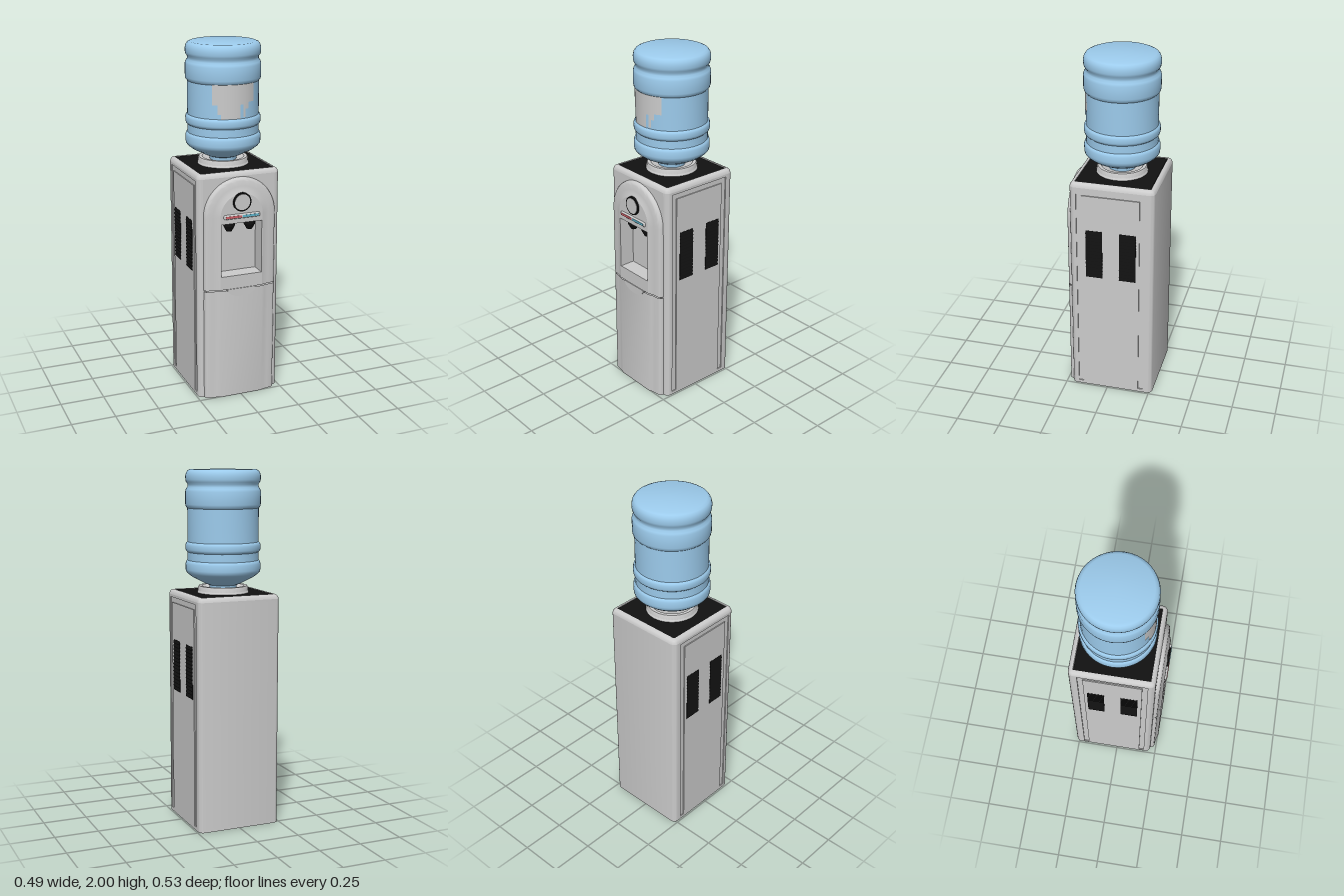
import * as THREE from 'three';
import { toCreasedNormals } from 'three/addons/utils/BufferGeometryUtils.js';
import { RoundedBoxGeometry } from 'three/addons/geometries/RoundedBoxGeometry.js';

const paint = (color, side = THREE.DoubleSide) => new THREE.MeshStandardMaterial({ color, side });
const grey = paint(0xcccccc);
const black = paint(0x111111);
const blue = paint(0x9ccbec);
const red = paint(0xd06068);
const cyan = paint(0x62b8d0);

// Skin between successive rings of [x, y, z] points
function loft(rings, closed) {
  const n = rings[0].length, index = [];
  for (let r = 0; r < rings.length - 1; r++) {
    for (let i = 0; i < (closed ? n : n - 1); i++) {
      const a = r * n + i, b = r * n + (i + 1) % n;
      index.push(a, a + n, b, b, a + n, b + n);
    }
  }
  const geo = new THREE.BufferGeometry();
  geo.setAttribute('position', new THREE.Float32BufferAttribute(rings.flat(2), 3));
  geo.setIndex(index);
  return toCreasedNormals(geo, 0.7);
}

// Cabinet outline at height y; groove 0 = plain sides, 1 = two vertical grooves, 2 = full-width groove
const W = 0.242, ZF = 0.215, ZB = -0.267, R = 0.03;
function outline(y, inset = 0, groove = 0) {
  const w = W - inset, f = ZF - inset, b = ZB + inset, r = Math.max(R - inset, 0.006), d = 0.006;
  const corner = (cx, cz, start) => Array.from({ length: 7 }, (_, i) => {
    const t = start - i * Math.PI / 12;
    return [cx + r * Math.cos(t), y, cz + r * Math.sin(t)];
  });
  const strip = groove ? d : 0, middle = groove === 2 ? d : 0;
  const side = [[0.175, 0], [0.175, strip], [0.145, strip], [0.145, middle],
    [-0.185, middle], [-0.185, strip], [-0.215, strip], [-0.215, 0]];
  return [
    ...corner(w - r, f - r, Math.PI / 2),
    ...side.map(([z, k]) => [w - k, y, z]),
    ...corner(w - r, b + r, 0),
    ...corner(-w + r, b + r, -Math.PI / 2),
    ...side.slice().reverse().map(([z, k]) => [-w + k, y, z]),
    ...corner(-w + r, f - r, Math.PI),
  ];
}

function rectPath(path, x, y0, y1) {
  path.moveTo(-x, y0);
  path.lineTo(x, y0);
  path.lineTo(x, y1);
  path.lineTo(-x, y1);
  path.closePath();
  return path;
}

export function createModel() {
  const model = new THREE.Group();
  function add(name, geo, mat, x = 0, y = 0, z = 0) {
    const mesh = new THREE.Mesh(geo, mat);
    mesh.name = name;
    mesh.position.set(x, y, z);
    model.add(mesh);
    return mesh;
  }

  // Cabinet: grooved walls open at the bottom, rounded rim, sunken black top
  add('cabinetWalls', loft([
    outline(0), outline(0.02), outline(0.02, 0, 1), outline(1.25, 0, 1),
    outline(1.25, 0, 2), outline(1.28, 0, 2), outline(1.28), outline(1.295),
  ], false), grey);
  add('cabinetRim', loft([[1.295, 0], [1.306, 0.003], [1.314, 0.009], [1.319, 0.018],
    [1.32, 0.027], [1.312, 0.029]].map(([y, k]) => outline(y, k)), true), grey);
  add('topPlate', new THREE.BoxGeometry(0.43, 0.01, 0.426), black, 0, 1.312, -0.024);

  // Flat cabinet front around the dispensing bay
  const NX = 0.12, N0 = 0.735, N1 = 1.04;
  const plate = rectPath(new THREE.Shape(), W - R, 0.6, 1.295);
  plate.holes.push(rectPath(new THREE.Path(), NX, N0, N1));
  add('cabinetFront', new THREE.ShapeGeometry(plate), grey, 0, 0, ZF);

  // Bulged front: [half width, z], shared by arched upper panel and lower door
  const bulge = [[0.212, 0.212], [0.208, 0.228], [0.203, 0.235], [0.194, 0.239],
    [0.165, 0.242], [0.145, 0.246], [0.125, 0.254]];
  const seam = 0.658, archY = 1.08;
  const arch = w => {
    const pts = [[w, seam]];
    for (let i = 0; i <= 32; i++) {
      const t = i * Math.PI / 32;
      pts.push([w * Math.cos(t), archY + w * Math.sin(t)]);
    }
    return [...pts, [-w, seam]];
  };
  add('upperPanelEdge', loft(bulge.map(([w, z]) => arch(w).map(([x, y]) => [x, y, z])), false), grey);
  const face = new THREE.Shape(arch(0.125).map(p => new THREE.Vector2(...p)));
  face.holes.push(rectPath(new THREE.Path(), NX, N0, N1));
  add('upperPanelFace', new THREE.ShapeGeometry(face), grey, 0, 0, 0.254);

  const section = [...bulge, ...bulge.slice().reverse().map(([w, z]) => [-w, z])];
  add('lowerDoor', loft([0, 0.652].map(y => section.map(([x, z]) => [x, y, z])), false), grey);

  // Curved finger grip over the door seam
  const grip = new THREE.Shape();
  grip.absellipse(0, seam, 0.085, 0.048, Math.PI, Math.PI * 2, false);
  add('doorGrip', new THREE.ExtrudeGeometry(grip, { depth: 0.018, bevelEnabled: false, curveSegments: 24 }),
    grey, 0, 0, 0.24);

  // Dispensing bay: a box without its front face
  const depth = 0.09;
  const bay = new THREE.BoxGeometry(NX * 2, N1 - N0, depth);
  const faces = Array.from(bay.index.array);
  bay.clearGroups();
  bay.setIndex([...faces.slice(0, 24), ...faces.slice(30)]);
  add('dispensingBay', bay, grey, 0, (N0 + N1) / 2, 0.254 - depth / 2);

  // Taps
  for (const x of [-0.057, 0.065]) {
    add('tapBody', new THREE.CylinderGeometry(0.033, 0.033, 0.022, 20), black, x, 1.029, 0.207);
    add('tapSpout', new THREE.CylinderGeometry(0.033, 0.016, 0.032, 20), black, x, 1.002, 0.207);
  }

  // Round dial with black surround
  const disc = (name, r, h, mat, z) => {
    add(name, new THREE.CylinderGeometry(r, r, h, 40), mat, 0, 1.16, z).rotation.x = Math.PI / 2;
  };
  disc('dialSurround', 0.053, 0.02, black, 0.253);
  disc('dialFace', 0.045, 0.02, grey, 0.2545);

  // Hot and cold indicator bar
  add('indicatorBar', new RoundedBoxGeometry(0.214, 0.026, 0.02, 3, 0.009), grey, 0, 1.08, 0.254);
  add('hotIndicator', new THREE.BoxGeometry(0.094, 0.012, 0.004), red, -0.05, 1.08, 0.264);
  add('coldIndicator', new THREE.BoxGeometry(0.094, 0.012, 0.004), cyan, 0.05, 1.08, 0.264);

  // Louvred side vents
  for (const s of [-1, 1]) {
    for (const z of [0.074, -0.118]) {
      add('ventBacking', new THREE.BoxGeometry(0.004, 0.295, 0.096), black, s * 0.241, 0.8925, z);
      for (let i = 0; i < 14; i++) {
        const slat = add('ventSlat', new THREE.BoxGeometry(0.003, 0.018, 0.096), black,
          s * 0.243, 0.757 + i * 0.0208, z);
        slat.rotation.z = s * 0.2;
      }
    }
  }

  // Collar and ribbed water bottle
  const lathe = (name, pts, mat) => add(name, toCreasedNormals(new THREE.LatheGeometry(
    pts.map(p => new THREE.Vector2(...p)), 56), 0.7), mat, 0, 0, -0.026);
  lathe('collar', [[0.145, 1.315], [0.145, 1.322], [0.14, 1.328], [0.14, 1.348], [0.136, 1.355],
    [0.118, 1.355], [0.108, 1.345], [0.06, 1.34]], grey);
  lathe('bottle', [[0.075, 1.335], [0.078, 1.36], [0.1, 1.368], [0.175, 1.407], [0.198, 1.425],
    [0.208, 1.437], [0.21, 1.45], [0.21, 1.482], [0.206, 1.494], [0.199, 1.5], [0.199, 1.545],
    [0.207, 1.552], [0.21, 1.562], [0.21, 1.585], [0.207, 1.595], [0.199, 1.602], [0.199, 1.788],
    [0.207, 1.797], [0.21, 1.81], [0.21, 1.88], [0.206, 1.893], [0.197, 1.905], [0.197, 1.92],
    [0.206, 1.932], [0.209, 1.945], [0.209, 1.965], [0.205, 1.982], [0.196, 1.994], [0.182, 2], [0, 2]], blue);

  // Ragged label on the bottle front: [left x, right x, bottom y]
  const top = 1.79, rl = 0.2015;
  for (const [x0, x1, y] of [[-0.125, -0.1, 1.68], [-0.1, -0.085, 1.63], [-0.085, 0.022, 1.603],
    [0.022, 0.04, 1.68], [0.04, 0.055, 1.61], [0.055, 0.075, 1.655], [0.075, 0.112, 1.69]]) {
    const a = Math.asin(x0 / rl), b = Math.asin(x1 / rl);
    add('labelStrip', new THREE.CylinderGeometry(rl, rl, top - y, 6, 1, true, a, b - a),
      grey, 0, (top + y) / 2, -0.026);
  }
  return model;
}
